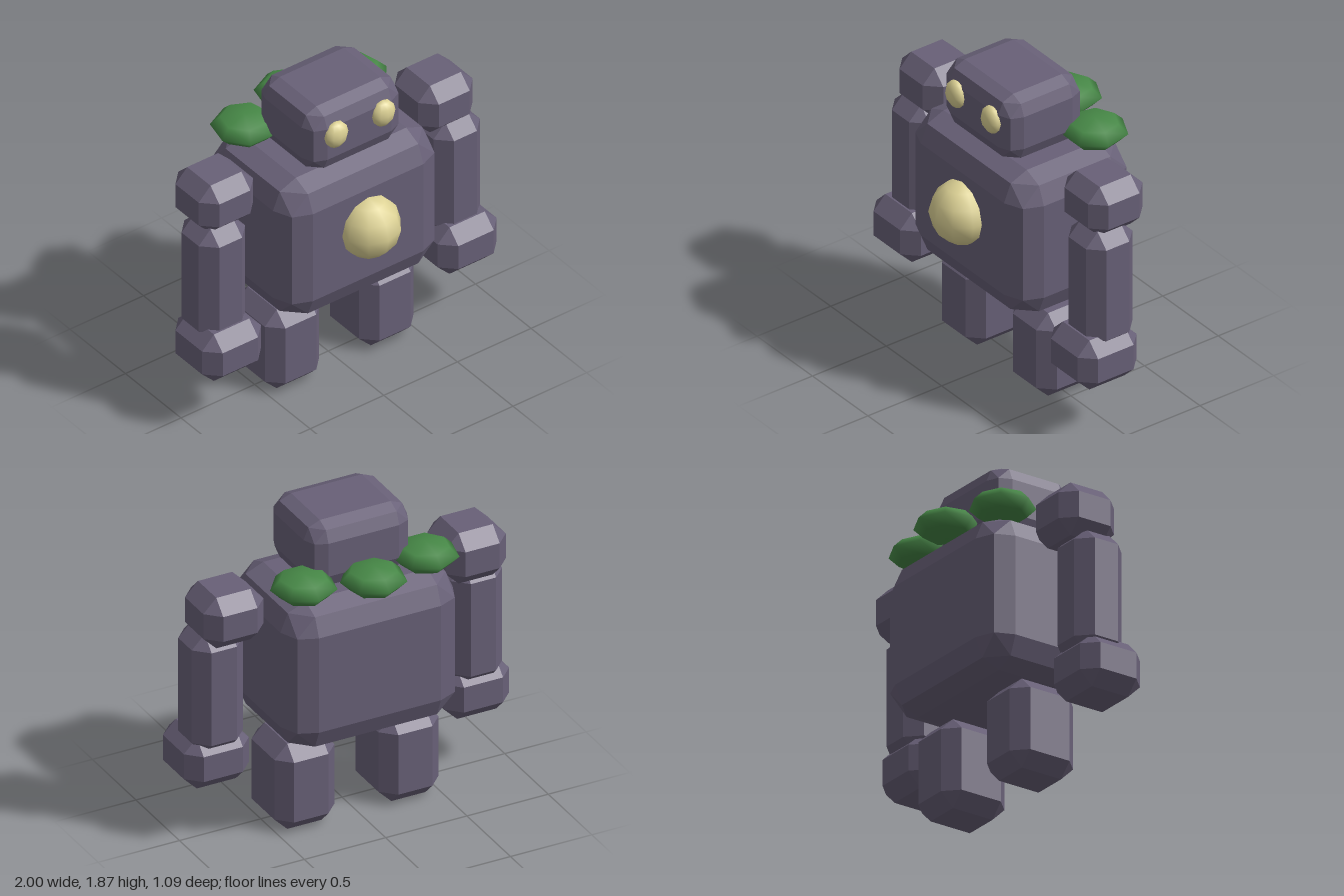
import * as THREE from 'three';
import { ConvexGeometry } from 'three/addons/geometries/ConvexGeometry.js';

const stone = new THREE.MeshStandardMaterial({ color: 0x686077 });
const moss = new THREE.MeshStandardMaterial({ color: 0x468746 });
const glow = new THREE.MeshStandardMaterial({ color: 0xddd295 });

// Box with bevelled edges: 1 step gives a flat chamfer, 2 steps a rounder edge
function bevelBox(w, h, d, radius, steps) {
  const points = [];
  for (const sx of [-1, 1]) for (const sy of [-1, 1]) for (const sz of [-1, 1]) {
    for (let i = 0; i <= steps; i++) for (let j = 0; j <= steps - i; j++) {
      const n = new THREE.Vector3(i, j, steps - i - j).normalize().multiplyScalar(radius);
      points.push(new THREE.Vector3(
        sx * (w / 2 - radius + n.x),
        sy * (h / 2 - radius + n.y),
        sz * (d / 2 - radius + n.z)));
    }
  }
  return new ConvexGeometry(points);
}

// Low-sided ellipsoid with a corner pointing along z
function blob(rx, ry, rz, around, rings) {
  return new THREE.SphereGeometry(1, around, rings).rotateY(-Math.PI / 2).scale(rx, ry, rz);
}

export function createModel() {
  const group = new THREE.Group();
  const add = (name, geometry, material, x, y, z) => {
    const mesh = new THREE.Mesh(geometry, material);
    mesh.name = name;
    mesh.position.set(x, y, z);
    group.add(mesh);
  };

  // Torso, head and chest gem
  add('torso', bevelBox(1.06, 0.9, 0.795, 0.155, 2), stone, 0, 1.02, -0.038);
  add('head', bevelBox(0.635, 0.405, 0.53, 0.1, 2), stone, 0, 1.667, 0.015);
  add('chestGem', blob(0.185, 0.187, 0.185, 10, 6), glow, 0, 1.073, 0.36);

  // Mirrored limbs, eyes and moss
  for (const [side, s] of [['left', 1], ['right', -1]]) {
    add(side + 'Eye', blob(0.077, 0.082, 0.052, 10, 6), glow, s * 0.16, 1.715, 0.28);
    add(side + 'Shoulder', bevelBox(0.37, 0.315, 0.37, 0.08, 1), stone, s * 0.745, 1.392, -0.038);
    add(side + 'Arm', bevelBox(0.315, 0.74, 0.315, 0.08, 1), stone, s * 0.797, 0.915, 0.022);
    add(side + 'Hand', bevelBox(0.4, 0.315, 0.4, 0.08, 1), stone, s * 0.8, 0.487, 0.07);
    add(side + 'Leg', bevelBox(0.37, 0.532, 0.422, 0.08, 1), stone, s * 0.32, 0.266, -0.033);
    add(side + 'Moss', blob(0.188, 0.078, 0.188, 7, 4), moss, s * 0.375, 1.552, -0.257);
  }
  add('backMoss', blob(0.188, 0.078, 0.188, 7, 4), moss, 0, 1.552, -0.36);

  return group;
}
